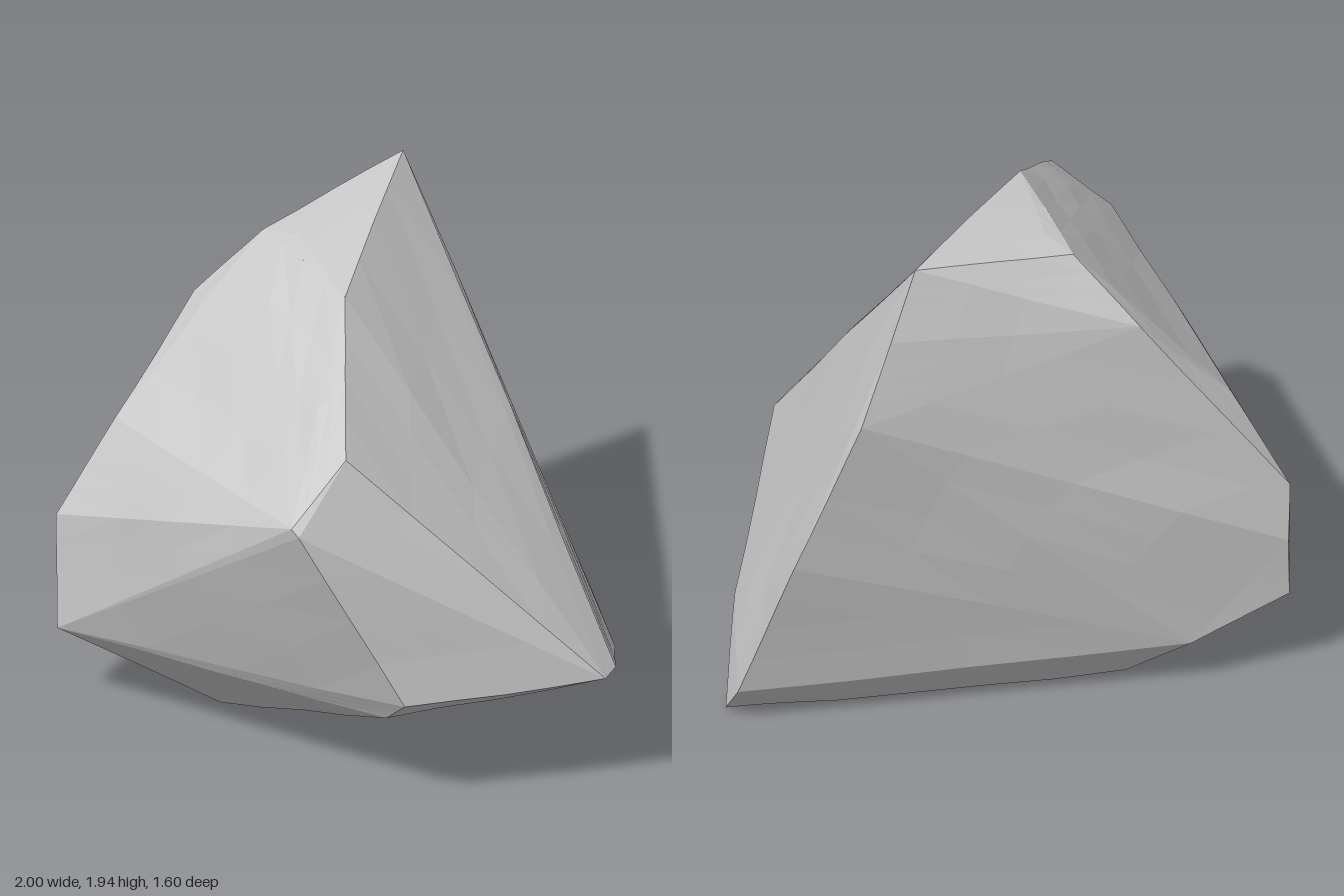
import * as THREE from 'three';
import { ConvexGeometry } from 'three/addons/geometries/ConvexGeometry.js';

// Corners of the boulder
const CORNERS = [
  // crown
  [0.37, 1.95, -0.69], [-0.14, 1.86, 0.05], [-0.23, 1.85, -0.52], [-0.15, 1.87, -0.4],
  // front ridge and its lower, bevelled edge
  [-0.35, 1.53, 0.6], [-0.57, 1.31, 0.63], [-0.55, 1.28, 0.65],
  [-0.16, 0.52, 0.69], [-0.18, 0.41, 0.56], [0.56, 0.55, 0.8], [0.63, 0.54, 0.72],
  // left flank
  [-0.45, 1.58, -0.62], [-0.8, 1.2, -0.5], [-1, 0.82, -0.55], [-1, 0.36, -0.54], [-0.99, 0.6, -0.57],
  // foot
  [-0.44, 0.01, -0.4], [-0.65, 0.19, -0.55], [1, 0.01, -0.4], [0.98, 0.16, -0.54], [0.6, 0, -0.4], [0.89, 0.2, 0.05],
  // back edge
  [0.58, 1.38, -0.8], [0.47, 1.7, -0.76], [0.8, 0.75, -0.69],
];

// Shallow, smooth unevenness that breaks the big planes into chipped facets
function chip(v) {
  const wave = Math.sin(9 * v.x + 5 * v.y) + Math.sin(8 * v.y - 7 * v.z + 1) + Math.sin(10 * v.z + 4 * v.x + 2);
  const inward = new THREE.Vector3(0, 0.9, 0).sub(v).normalize();
  return v.clone().addScaledVector(inward, 0.003 * (wave + 1));
}

// Split each triangle in four
function subdivide(points) {
  const out = [];
  for (let i = 0; i < points.length; i += 3) {
    const [a, b, c] = points.slice(i, i + 3);
    const ab = a.clone().lerp(b, 0.5), bc = b.clone().lerp(c, 0.5), ca = c.clone().lerp(a, 0.5);
    out.push(a, ab, ca, ab, b, bc, ca, bc, c, ab, bc, ca);
  }
  return out;
}

export function createModel() {
  const group = new THREE.Group();
  group.name = 'rock';
  const stone = new THREE.MeshStandardMaterial({ color: 0xcccccc, flatShading: true });
  stone.name = 'grey stone';

  const hull = new ConvexGeometry(CORNERS.map((p) => new THREE.Vector3(...p)));
  const pos = hull.attributes.position;
  let points = [];
  for (let i = 0; i < pos.count; i++) points.push(new THREE.Vector3().fromBufferAttribute(pos, i));
  points = subdivide(subdivide(points)).map(chip);

  const geometry = new THREE.BufferGeometry().setFromPoints(points);
  geometry.computeVertexNormals();
  const boulder = new THREE.Mesh(geometry, stone);
  boulder.name = 'boulder';
  group.add(boulder);
  return group;
}
